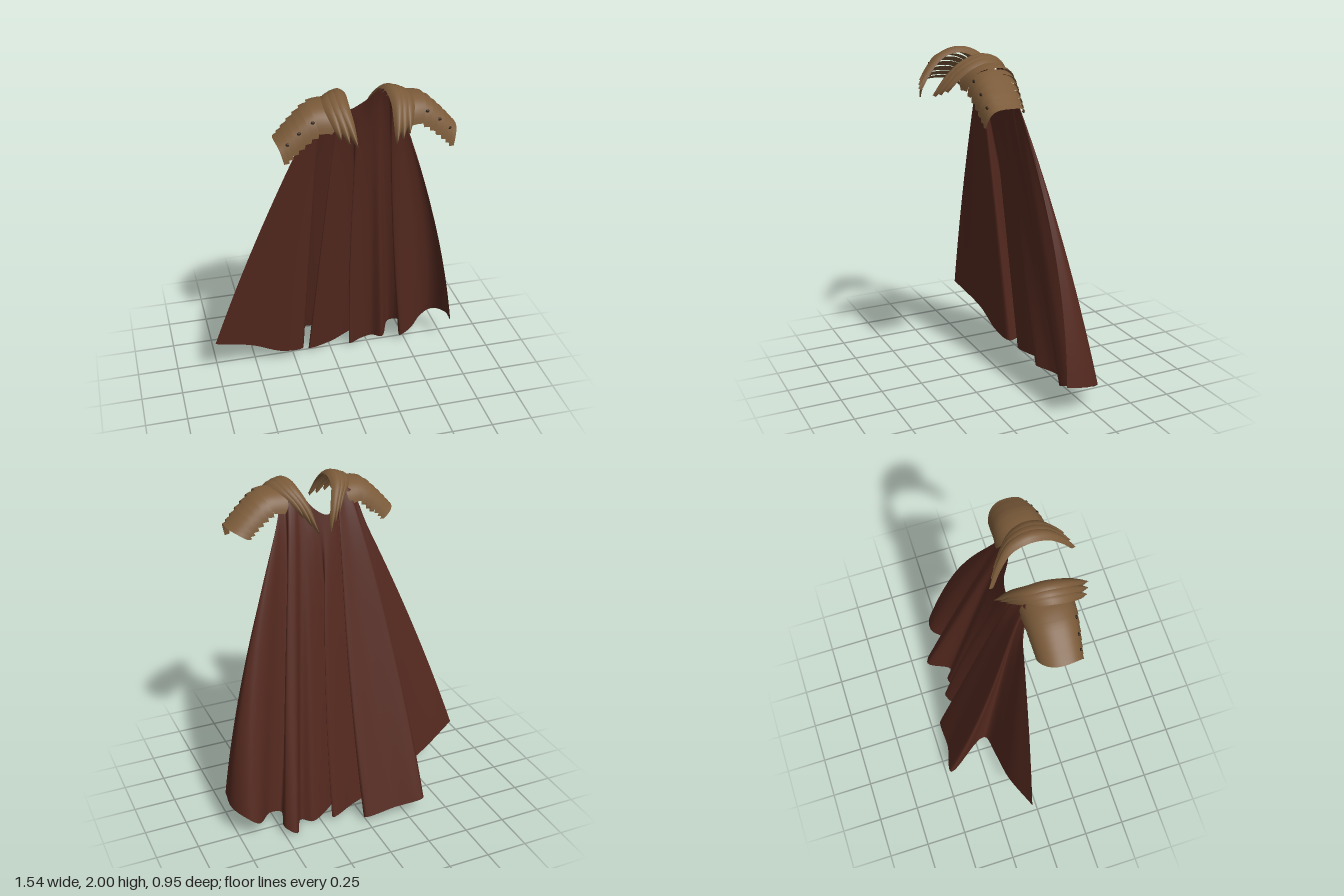
import * as THREE from 'three';

const CENTER = 0.09; // mirror line of the shoulder armour

const cloth = new THREE.MeshStandardMaterial({ color: 0x54291f, side: THREE.DoubleSide });
cloth.name = 'brownCloth';
const bronze = new THREE.MeshStandardMaterial({ color: 0x7a5a39, side: THREE.DoubleSide });
bronze.name = 'bronze';
const dark = new THREE.MeshStandardMaterial({ color: 0x33261a });
dark.name = 'darkBronze';

// Smooth grid surface: fn(u, v) -> Vector3, with u and v from 0 to 1
function sheet(name, nu, nv, fn, material, flip = false) {
  const pos = [], idx = [];
  for (let i = 0; i <= nu; i++)
    for (let j = 0; j <= nv; j++) pos.push(...fn(i / nu, j / nv).toArray());
  for (let i = 0; i < nu; i++)
    for (let j = 0; j < nv; j++) {
      const a = i * (nv + 1) + j, b = a + 1, c = a + nv + 1, d = c + 1;
      if (flip) idx.push(a, c, b, b, c, d);
      else idx.push(a, b, c, b, d, c);
    }
  const g = new THREE.BufferGeometry();
  g.setAttribute('position', new THREE.Float32BufferAttribute(pos, 3));
  g.setIndex(idx);
  g.computeVertexNormals();
  const m = new THREE.Mesh(g, material);
  m.name = name;
  return m;
}

const V = (p) => new THREE.Vector3(...p);
const curve = (pts) => new THREE.CatmullRomCurve3(pts.map(V), false, 'centripetal');

// Cape pleats: top x, y, z then hem x, y, z
const PLEATS = [
  [-0.17, 1.77, 0.05, -0.77, 0.30, -0.05],
  [-0.16, 1.83, 0.06, -0.53, 0.19, -0.13],
  [-0.14, 1.88, 0.06, -0.33, 0.09, -0.155],
  [-0.12, 1.91, 0.05, -0.19, 0.07, -0.19],
  [-0.10, 1.93, 0.05, -0.36, 0.10, -0.47],
  [-0.06, 1.94, 0.05, -0.18, 0.06, -0.44],
  [-0.03, 1.93, 0.04, 0.02, 0.04, -0.43],
  [-0.01, 1.89, 0.04, -0.15, 0.035, -0.22],
  [0.01, 1.84, 0.03, 0.00, 0.03, -0.26],
  [0.05, 1.81, 0.03, 0.19, 0.035, -0.35],
  [0.11, 1.84, 0.03, 0.12, 0.03, -0.21],
  [0.14, 1.87, 0.04, 0.22, 0.015, -0.27],
  [0.17, 1.91, 0.05, 0.30, 0.005, -0.30],
  [0.20, 1.94, 0.05, 0.36, 0.01, -0.26],
  [0.23, 1.95, 0.05, 0.44, 0.03, -0.40],
  [0.26, 1.94, 0.05, 0.50, 0.06, -0.35],
  [0.28, 1.92, 0.06, 0.46, 0.05, -0.19],
  [0.30, 1.89, 0.06, 0.54, 0.08, -0.21],
  [0.32, 1.86, 0.06, 0.64, 0.10, -0.31],
  [0.33, 1.83, 0.06, 0.71, 0.15, -0.30],
  [0.335, 1.80, 0.06, 0.77, 0.18, -0.20],
  [0.34, 1.76, 0.05, 0.765, 0.20, -0.07],
];

// How far each pleat bows in x and z halfway down
const BOW = [
  [-0.025, 0], [-0.02, 0], [-0.01, 0], [0, 0], [-0.04, 0.02], [0, 0.02], [0.02, 0.02], [0, 0],
  [0, 0], [0.03, 0], [-0.02, 0], [0, 0], [0, 0], [0, 0], [0, 0.01], [0.01, 0],
  [-0.02, 0], [0, 0], [0.03, 0], [0.05, -0.01], [0.06, -0.03], [0.06, -0.045],
];

function cape() {
  const top = curve(PLEATS.map((p) => p.slice(0, 3)));
  const hem = curve(PLEATS.map((p) => p.slice(3)));
  const bow = new THREE.CatmullRomCurve3(BOW.map(([x, z]) => new THREE.Vector3(x, 0, z)), false, 'catmullrom');
  return sheet('cape', 126, 36, (u, t) => {
    const a = top.getPoint(u), p = a.clone().lerp(hem.getPoint(u), t);
    p.addScaledVector(bow.getPoint(u), 4 * t * (1 - t));
    // the top rolls forward over the shoulders
    p.z += Math.max(a.y - 1.8, 0) * 0.3 * Math.exp(-12 * t);
    return p;
  }, cloth);
}

// Spine of the collar: distance from the mirror line, y, z (back tip to front tip)
const SPINE = curve([
  [0.04, 1.73, -0.03], [0.095, 1.88, 0.03], [0.14, 1.965, 0.105], [0.155, 1.995, 0.21],
  [0.155, 1.96, 0.32], [0.135, 1.88, 0.405], [0.11, 1.785, 0.465],
]);

// Leaf plate following the spine between t0 and t1, its front tip turned out by splay
function leaf(name, s, offset, splay, lift, halfWidth, t0, t1) {
  return sheet(name, 28, 8, (u, v) => {
    const t = t0 + (t1 - t0) * u, k = v * 2 - 1;
    const p = SPINE.getPoint(t), d = SPINE.getTangent(t);
    const w = halfWidth * Math.pow(Math.max(Math.sin(Math.PI * u), 0), 0.7);
    const up = lift - 0.022 * k * k;
    const x = p.x + offset + splay * u * u + k * w;
    return new THREE.Vector3(CENTER + s * x, p.y + d.z * up, p.z - d.y * up);
  }, bronze, s < 0);
}

// Outer ridge of the shoulder plates: distance, y
const RIDGE = curve([[0.19, 1.965, 0], [0.31, 1.935, 0], [0.41, 1.85, 0], [0.495, 1.755, 0]]);

// Point on a shoulder plate: r along the ridge, u from -1 (back) to 1 (front)
function lamePoint(s, r, u, lift) {
  const c = RIDGE.getPoint(r), d = RIDGE.getTangent(r), a = Math.abs(u);
  const half = u > 0 ? 0.16 - 0.035 * r : 0.15 - 0.03 * r;
  const drop = u > 0
    ? (0.13 - 0.03 * r) * Math.pow(a, 2.2 + r)
    : (0.12 - 0.07 * r) * Math.pow(a, 2.2);
  const inward = u > 0 ? 0.035 * a * a : (0.04 + 0.05 * r) * a * a;
  return new THREE.Vector3(
    CENTER + s * (c.x - d.y * lift - inward),
    c.y + d.x * lift - drop,
    0.2 + half * Math.sin(1.35 * u) / Math.sin(1.35));
}

function shoulder(s, name) {
  const g = new THREE.Group();
  g.name = name;
  // overlapping shoulder plates, flared at their lower edge
  const starts = [0, 0.3, 0.42, 0.54, 0.66, 0.78, 0.88];
  starts.forEach((r0, i) => {
    const r1 = Math.min((starts[i + 1] ?? 1) + 0.04, 1);
    g.add(sheet('shoulderPlate', 24, 4, (a, v) => {
      const u = a * 2 - 1;
      const taper = 1 - 0.5 * Math.pow(Math.abs(u), 6);
      const r = r1 - (r1 - r0) * (1 - v) * taper;
      return lamePoint(s, r, u, 0.018 * v - 0.004);
    }, bronze, s > 0));
    // rivets near the front of every other plate
    if (i % 2 === 1) {
      const rivet = new THREE.Mesh(new THREE.SphereGeometry(0.011, 10, 8), dark);
      rivet.name = 'rivet';
      rivet.scale.set(1, 0.8, 0.6);
      rivet.position.copy(lamePoint(s, (r0 + r1) / 2, 0.7, 0.008));
      g.add(rivet);
    }
  });
  // layered collar leaves
  g.add(leaf('outerCollarLeaf', s, 0.035, 0.03, -0.01, 0.045, 0.1, 0.93));
  g.add(leaf('middleCollarLeaf', s, 0.015, 0.015, 0, 0.045, 0.05, 0.97));
  g.add(leaf('innerCollarLeaf', s, -0.005, 0, 0.006, 0.042, 0, 1));
  return g;
}

export function createModel() {
  const model = new THREE.Group();
  model.name = 'capeWithShoulderArmour';
  model.add(cape(), shoulder(1, 'leftShoulderArmour'), shoulder(-1, 'rightShoulderArmour'));
  return model;
}
